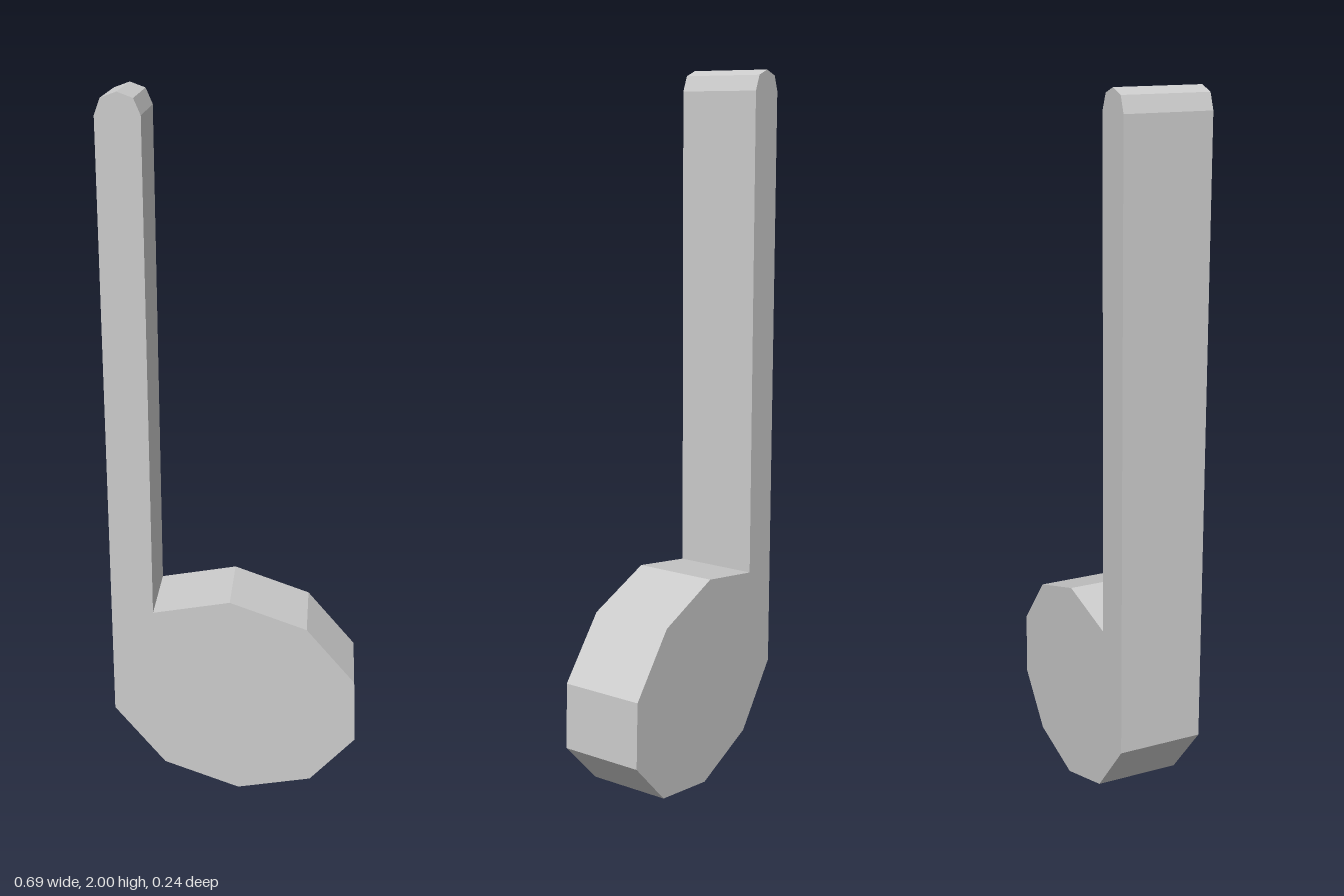
import * as THREE from 'three';

const DEPTH = 0.236;

// Closed outline, counter-clockwise from the foot of the stem
const OUTLINE = [
  // round head
  [-0.348, 0.26], [-0.205, 0.083], [0.01, 0.004], [0.22, 0.042], [0.347, 0.18],
  [0.341, 0.368], [0.203, 0.532], [-0.014, 0.61], [-0.231, 0.571],
  // stem with a bevelled tip
  [-0.231, 1.943], [-0.249, 1.985], [-0.29, 2.0], [-0.332, 1.985], [-0.348, 1.943],
];

export function createModel() {
  const group = new THREE.Group();
  group.name = 'musicNote';

  const shape = new THREE.Shape(OUTLINE.map(([x, y]) => new THREE.Vector2(x, y)));
  const geometry = new THREE.ExtrudeGeometry(shape, { depth: DEPTH, bevelEnabled: false });
  geometry.translate(0, 0, -DEPTH / 2);

  // Head and stem are one solid slab
  const note = new THREE.Mesh(
    geometry,
    new THREE.MeshStandardMaterial({ color: 0xcccccc, flatShading: true })
  );
  note.name = 'noteHeadAndStem';
  group.add(note);
  return group;
}
